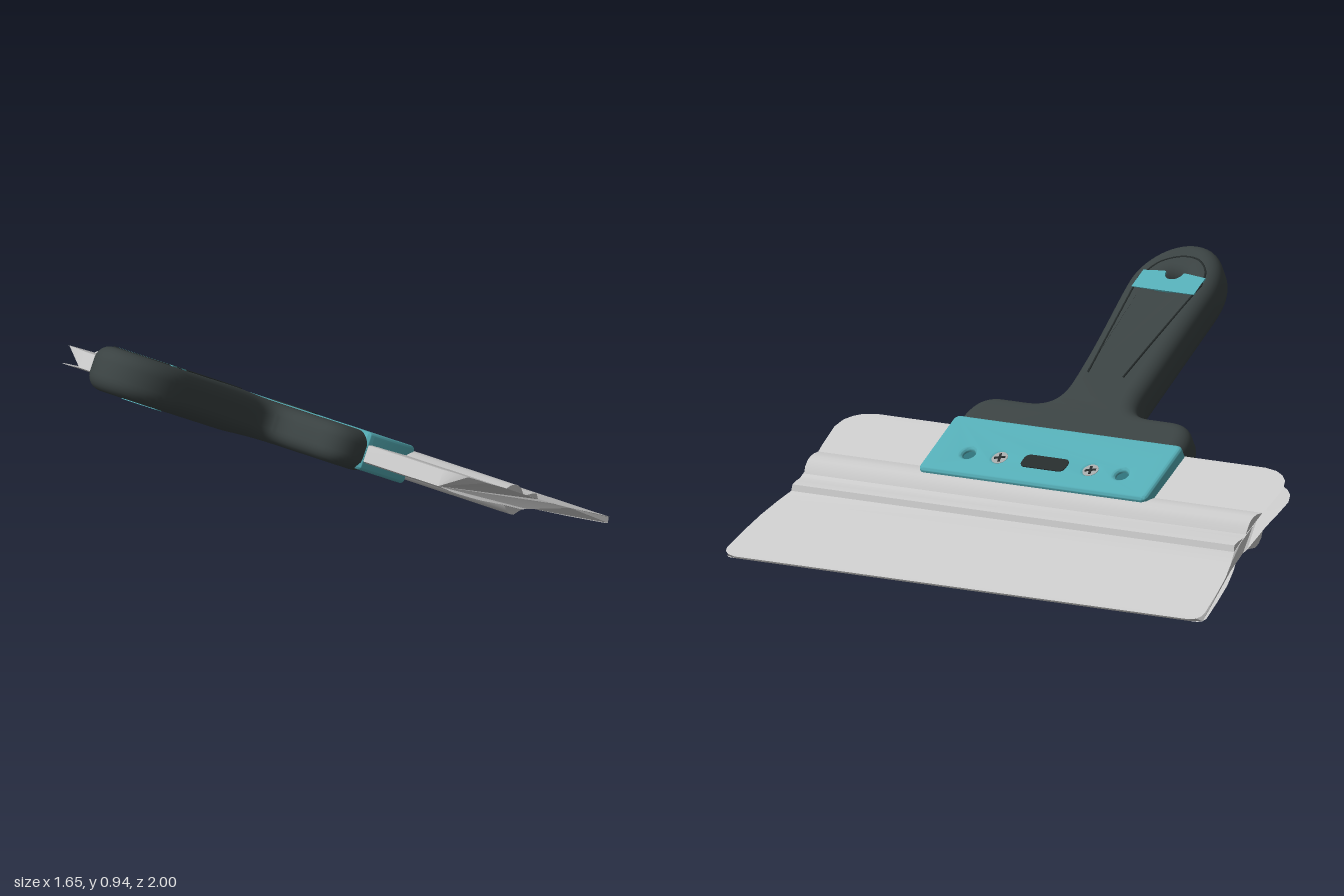
import * as THREE from 'three';
import { toCreasedNormals } from 'three/addons/utils/BufferGeometryUtils.js';

const mat = (name, color) => {
  const m = new THREE.MeshStandardMaterial({ color });
  m.name = name;
  return m;
};

export function createModel() {
  const steel = mat('blade steel', 0xc9c9c9);
  const dark = mat('dark grip', 0x3a4242);
  const teal = mat('teal plastic', 0x54acb5);
  const recess = mat('recess teal', 0x2d6f77);
  const screw = mat('screw metal', 0xa3a8a8);
  const black = mat('groove black', 0x262c2c);

  // Local frame: x runs from handle to blade, y is the tool's normal, z its width
  const tool = new THREE.Group();
  tool.name = 'taping knife';
  tool.rotation.z = -Math.PI / 6;
  tool.position.set(0.1, 0.38, 0);

  const add = (name, geo, material, parent = tool) => {
    const m = new THREE.Mesh(geo, material);
    m.name = name;
    parent.add(m);
    return m;
  };

  // Slab from a plan outline (x, -z), filling y0..y1 with rounded edges
  const slab = (shape, y0, y1, bevel = 0, curveSegments = 12) => {
    const g = new THREE.ExtrudeGeometry(shape, {
      depth: y1 - y0 - 2 * bevel, bevelEnabled: bevel > 0, bevelThickness: bevel,
      bevelSize: bevel, bevelOffset: -bevel, bevelSegments: 6, curveSegments,
    });
    g.translate(0, 0, y0 + bevel);
    g.rotateX(-Math.PI / 2);
    return g;
  };
  const roundRect = (x0, x1, v0, v1, r) => {
    const s = new THREE.Shape();
    s.absarc(x1 - r, v1 - r, r, 0, Math.PI / 2);
    s.absarc(x0 + r, v1 - r, r, Math.PI / 2, Math.PI);
    s.absarc(x0 + r, v0 + r, r, Math.PI, Math.PI * 1.5);
    s.absarc(x1 - r, v0 + r, r, Math.PI * 1.5, Math.PI * 2);
    s.closePath();
    return s;
  };

  // Blade: stations of [x, top, bottom, half width]
  const stations = [
    [-0.01, 0.024, -0.036, 0.81], [0.002, 0.027, -0.04, 0.865], [0.02, 0.027, -0.04, 0.9],
    [0.045, 0.028, -0.039, 0.925], [0.085, 0.028, -0.037, 0.94], [0.18, 0.03, -0.031, 0.935],
    [0.224, 0.031, -0.028, 0.93], [0.25, 0.046, -0.028, 0.927], [0.272, 0.053, -0.045, 0.927],
    [0.295, 0.054, -0.052, 0.927], [0.32, 0.045, -0.05, 0.927], [0.342, 0.03, -0.036, 0.925],
    [0.362, 0.03, -0.023, 0.925], [0.392, 0.041, -0.016, 0.925], [0.42, 0.046, -0.01, 0.925],
    [0.436, 0.029, -0.008, 0.927], [0.5, 0.031, -0.002, 0.95], [0.58, 0.035, 0.005, 0.972],
    [0.68, 0.042, 0.014, 0.988], [0.78, 0.048, 0.023, 1.0], [0.798, 0.048, 0.026, 0.995],
    [0.81, 0.046, 0.031, 0.98], [0.816, 0.044, 0.036, 0.95],
  ];
  const profile = [
    ...stations.map(([x, , b]) => new THREE.Vector2(x, b)),
    ...stations.map(([x, t]) => new THREE.Vector2(x, t)).reverse(),
  ];
  const blade = new THREE.ExtrudeGeometry(new THREE.Shape(profile), { depth: 2, bevelEnabled: false });
  blade.translate(0, 0, -1);
  const bp = blade.attributes.position;
  for (let i = 0; i < bp.count; i++) {
    const x = bp.getX(i);
    const st = stations.find((s) => Math.abs(s[0] - x) < 1e-4);
    bp.setZ(i, bp.getZ(i) * st[3]);
  }
  add('blade', toCreasedNormals(blade, 0.5), steel);

  // Handle: broad shoulder, waisted neck and rounded end, with a hanging hole
  const h = new THREE.Shape();
  h.moveTo(0.05, 0.47);
  h.lineTo(-0.04, 0.468);
  h.bezierCurveTo(-0.12, 0.46, -0.155, 0.42, -0.155, 0.35);
  h.lineTo(-0.155, 0.26);
  h.bezierCurveTo(-0.157, 0.19, -0.18, 0.168, -0.26, 0.163);
  h.lineTo(-0.8, 0.152);
  h.bezierCurveTo(-0.93, 0.148, -1.042, 0.08, -1.042, -0.025);
  h.bezierCurveTo(-1.042, -0.13, -0.94, -0.205, -0.82, -0.203);
  h.bezierCurveTo(-0.7, -0.195, -0.45, -0.145, -0.26, -0.143);
  h.bezierCurveTo(-0.18, -0.145, -0.157, -0.18, -0.155, -0.25);
  h.lineTo(-0.155, -0.35);
  h.bezierCurveTo(-0.155, -0.42, -0.12, -0.46, -0.04, -0.468);
  h.lineTo(0.05, -0.47);
  h.closePath();
  h.holes.push(roundRect(-0.87, -0.8, -0.06, 0.015, 0.03));
  const handle = slab(h, -0.087, 0.075, 0.055, 14);
  const hp = handle.attributes.position;
  for (let i = 0; i < hp.count; i++) {
    const t = THREE.MathUtils.smoothstep(hp.getX(i), -0.4, -0.1);
    hp.setY(i, hp.getY(i) * (1 - 0.11 * t));
  }
  add('handle', toCreasedNormals(handle, 0.6), dark);

  // Teal insert beside the hanging hole, on both faces
  const ins = new THREE.Shape();
  ins.moveTo(-0.765, 0.11);
  ins.lineTo(-0.855, 0.11);
  ins.lineTo(-0.865, 0.02);
  ins.absarc(-0.862, -0.022, 0.036, Math.PI / 2, -Math.PI / 2, true);
  ins.lineTo(-0.865, -0.065);
  ins.lineTo(-0.855, -0.15);
  ins.lineTo(-0.765, -0.15);
  ins.closePath();
  add('hangingInsertTop', slab(ins, 0.07, 0.078), teal);
  add('hangingInsertBottom', slab(roundRect(-0.8, -0.75, -0.1, 0.06, 0.015), -0.09, -0.083), teal);

  // Fine grooves outlining the grip panel
  const groove = (name, pts, material) => add(name, new THREE.TubeGeometry(
    new THREE.CatmullRomCurve3(pts.map(([x, z, y]) => new THREE.Vector3(x, y, z))), 24, 0.004, 6), material);
  groove('gripGrooveRight', [[-0.82, -0.11, 0.074], [-0.5, -0.08, 0.074], [-0.31, -0.064, 0.073]], black);
  groove('gripGrooveLeft', [[-0.82, 0.15, 0.074], [-0.5, 0.108, 0.074], [-0.31, 0.083, 0.073]], black);
  groove('gripGrooveEnd', [[-0.82, -0.11, 0.074], [-0.89, -0.09, 0.074], [-0.945, -0.03, 0.074],
    [-0.95, 0.04, 0.074], [-0.91, 0.11, 0.074], [-0.82, 0.15, 0.074]], black);

  // Teal clamp holding the blade
  const c = roundRect(-0.02, 0.278, -0.477, 0.477, 0.025);
  const MID = 0.167;
  for (const v of [-0.32, -0.19, 0.19, 0.32]) {
    const hole = new THREE.Path();
    hole.absarc(MID, v, 0.024, 0, Math.PI * 2, true);
    c.holes.push(hole);
  }
  add('clamp', toCreasedNormals(slab(c, -0.069, 0.07, 0.015, 10), 0.6), teal);

  // Screws, rivet recesses and badge, on both faces
  for (const side of [1, -1]) {
    const face = new THREE.Group();
    face.name = side > 0 ? 'topFastenings' : 'bottomFastenings';
    if (side < 0) face.rotation.x = Math.PI;
    tool.add(face);
    for (const z of [-1, 1]) {
      add('rivetRecess', new THREE.CylinderGeometry(0.034, 0.034, 0.008, 24), recess, face)
        .position.set(MID, 0.05, z * 0.32);
      add('screwHead', new THREE.CylinderGeometry(0.03, 0.034, 0.012, 24), screw, face)
        .position.set(MID, 0.062, z * 0.19);
      for (const turn of [0.3, 0.3 + Math.PI / 2]) {
        const slot = add('screwSlot', new THREE.BoxGeometry(0.042, 0.004, 0.009), black, face);
        slot.position.set(MID, 0.068, z * 0.19);
        slot.rotation.y = turn;
      }
    }
    if (side > 0) add('badge', slab(roundRect(MID - 0.032, MID + 0.032, -0.092, 0.092, 0.022), 0.066, 0.073), black, face);
  }

  const model = new THREE.Group();
  model.name = 'model';
  model.add(tool);
  return model;
}
